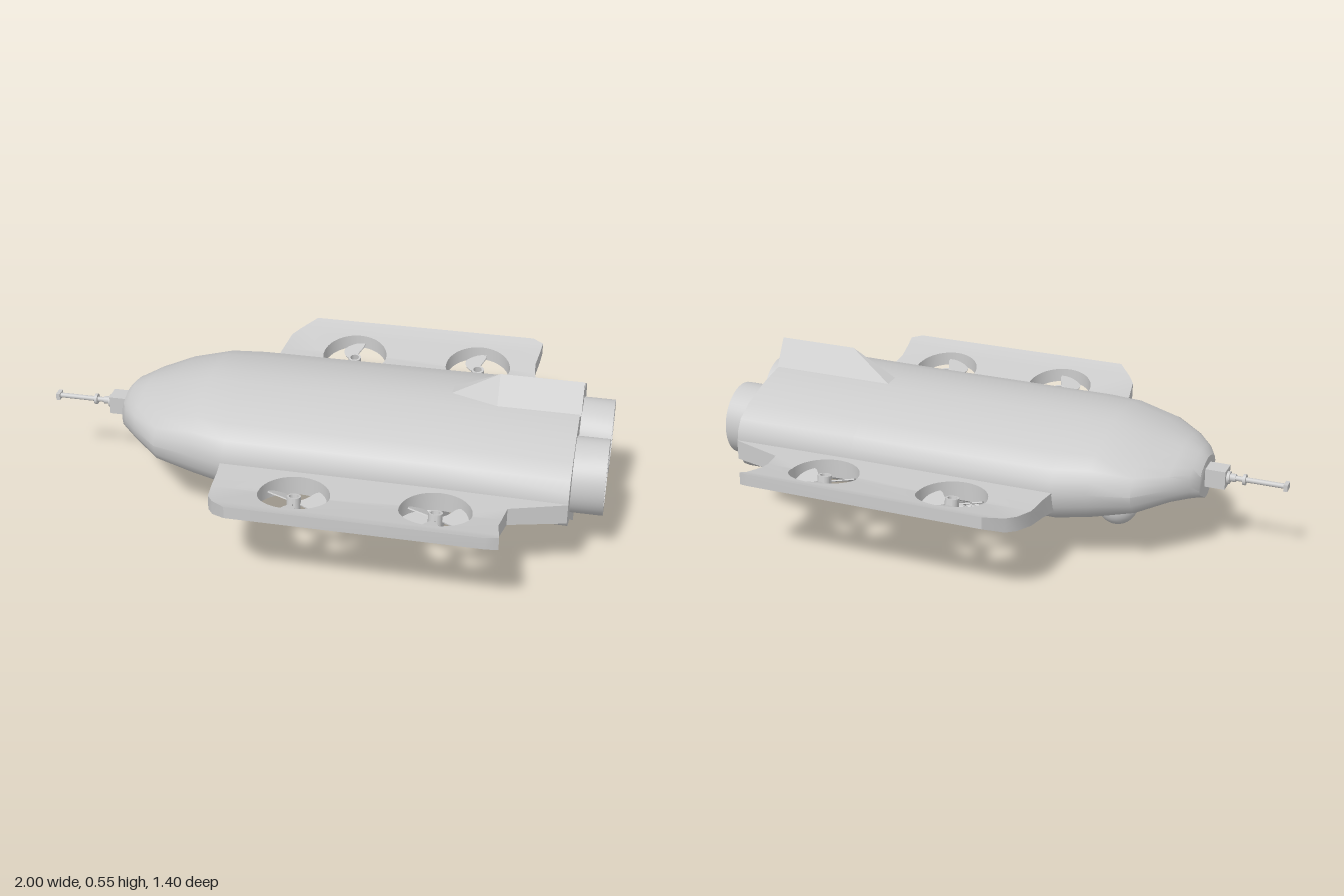
import * as THREE from 'three';
import { mergeGeometries, toCreasedNormals } from 'three/addons/utils/BufferGeometryUtils.js';
import { RoundedBoxGeometry } from 'three/addons/geometries/RoundedBoxGeometry.js';

const grey = new THREE.MeshStandardMaterial({ color: 0xcccccc });

// Merge several geometries, keeping only position and normal
function merge(...list) {
  return mergeGeometries(list.map((g) => {
    const n = g.index ? g.toNonIndexed() : g.clone();
    n.deleteAttribute('uv');
    return n;
  }));
}

// Skin rings of [y, z] points, wound anticlockwise as seen from +x
function loft(stations, crease) {
  const pos = [], idx = [], n = stations[0].ring.length, last = (stations.length - 1) * n;
  stations.forEach((s) => s.ring.forEach(([y, z]) => pos.push(s.x, y, z)));
  for (let i = 0; i < stations.length - 1; i++) {
    for (let j = 0; j < n; j++) {
      const a = i * n + j, b = i * n + (j + 1) % n;
      idx.push(a, b, b + n, a, b + n, a + n);
    }
  }
  for (let j = 1; j < n - 1; j++) idx.push(0, j + 1, j, last, last + j, last + j + 1);
  const g = new THREE.BufferGeometry();
  g.setAttribute('position', new THREE.Float32BufferAttribute(pos, 3));
  g.setIndex(idx);
  return toCreasedNormals(g, crease);
}

// Mirror across z = 0 and restore the winding
function mirrorZ(geo) {
  const g = geo.index ? geo.toNonIndexed() : geo.clone();
  for (const a of [g.attributes.position, g.attributes.normal]) {
    for (let i = 0; i < a.count; i += 3) {
      const p = [0, 2, 1].map((k) => [a.getX(i + k), a.getY(i + k), -a.getZ(i + k)]);
      p.forEach((v, k) => a.setXYZ(i + k, ...v));
    }
  }
  return g;
}

// Cylinder lying along x
function rod(r, x0, x1, y, z = 0, sides = 16) {
  return new THREE.CylinderGeometry(r, r, x1 - x0, sides).rotateZ(-Math.PI / 2).translate((x0 + x1) / 2, y, z);
}

// Propeller around the z axis with swept, pitched blades and a hollow hub
function propeller(blades, radius) {
  const petal = new THREE.Shape();
  petal.moveTo(0.15, -0.06);
  petal.bezierCurveTo(0.4, -0.35, 0.75, -0.4, 0.92, -0.3);
  petal.bezierCurveTo(1.03, -0.05, 0.98, 0.25, 0.8, 0.42);
  petal.bezierCurveTo(0.6, 0.42, 0.45, 0.1, 0.15, 0.08);
  const parts = [];
  for (let i = 0; i < blades; i++) {
    parts.push(new THREE.ExtrudeGeometry(petal, { depth: 0.04, bevelEnabled: false, curveSegments: 6 })
      .scale(radius, radius, radius).rotateX(0.35).rotateZ(0.3 + i * Math.PI * 2 / blades));
  }
  const hub = [[0.016, -0.02], [0.024, -0.02], [0.024, 0.025], [0.016, 0.025], [0.016, -0.02]];
  parts.push(toCreasedNormals(new THREE.LatheGeometry(hub.map((p) => new THREE.Vector2(...p)), 16), 0.6).rotateX(Math.PI / 2));
  return merge(...parts);
}

// Half section of the hull: share of half width, share of height
const half = [[0, 1], [0.19, 0.99], [0.46, 0.94], [0.75, 0.85], [0.91, 0.76], [0.97, 0.67], [1, 0.55],
  [0.97, 0.42], [0.91, 0.32], [0.8, 0.25], [0.45, 0.12], [0.15, 0.01], [0, 0]];
const section = [...half, ...half.slice(1, -1).reverse().map(([w, t]) => [-w, t])];

// Hull stations: x, half width, bottom, top
const hullStations = [[-0.72, 0.1, 0.2, 0.345], [-0.695, 0.14, 0.197, 0.372], [-0.64, 0.21, 0.19, 0.39],
  [-0.54, 0.3, 0.145, 0.42], [-0.4, 0.335, 0.095, 0.46], [-0.28, 0.362, 0.075, 0.46],
  [0.45, 0.365, 0.072, 0.46], [0.89, 0.375, 0.07, 0.46]];

// Wing heights by span: span, underside, top
const wingCurve = [[0.34, 0.22, 0.295], [0.51, 0.245, 0.298], [0.64, 0.275, 0.325], [0.7, 0.305, 0.347]];
const fans = [0.005, 0.475], fanSpan = 0.51, fanRadius = 0.12;

function wingHeight(v, w) {
  let i = 0;
  while (i < 2 && v > wingCurve[i + 1][0] + 1e-6) i++;
  const [a, b] = [wingCurve[i], wingCurve[i + 1]], t = (v - a[0]) / (b[0] - a[0]);
  return THREE.MathUtils.lerp(a[1] + (b[1] - a[1]) * t, a[2] + (b[2] - a[2]) * t, w);
}

// Wing made of three spanwise strips, the inner two sharing the fan openings
function wing() {
  const inner = new THREE.Shape(), middle = new THREE.Shape(), tip = new THREE.Shape();
  const trace = (s, pts) => pts.forEach((p) => s.lineTo(...p));
  inner.moveTo(-0.29, 0.34);
  trace(inner, [[0.89, 0.34], [0.89, 0.375], [0.7, 0.44], [0.69, 0.51]]);
  for (const x of [...fans].reverse()) {
    inner.lineTo(x + fanRadius, fanSpan);
    inner.absarc(x, fanSpan, fanRadius, 0, -Math.PI, true);
  }
  trace(inner, [[-0.275, 0.51], [-0.28, 0.42]]);
  middle.moveTo(-0.275, 0.51);
  for (const x of fans) {
    middle.lineTo(x - fanRadius, fanSpan);
    middle.absarc(x, fanSpan, fanRadius, Math.PI, 0, true);
  }
  trace(middle, [[0.69, 0.51], [0.685, 0.56], [0.695, 0.64], [-0.235, 0.64], [-0.26, 0.6]]);
  tip.moveTo(-0.235, 0.64);
  trace(tip, [[0.695, 0.64], [0.7, 0.68], [0.66, 0.7], [-0.18, 0.7]]);
  const g = merge(...[inner, middle, tip].map((s) =>
    new THREE.ExtrudeGeometry(s, { depth: 1, bevelEnabled: false, curveSegments: 20 })));
  const p = g.attributes.position;
  for (let i = 0; i < p.count; i++) {
    const v = p.getY(i);
    p.setXYZ(i, p.getX(i), wingHeight(v, p.getZ(i)), -v);
  }
  return mirrorZ(toCreasedNormals(g, 0.5));
}

export function createModel() {
  const model = new THREE.Group();
  const add = (name, geo) => {
    const m = new THREE.Mesh(geo, grey);
    m.name = name;
    model.add(m);
  };
  const addPair = (name, geo) => {
    add(name + 'Left', geo);
    add(name + 'Right', mirrorZ(geo));
  };

  // Hull
  add('hull', loft(hullStations.map(([x, w, lo, hi]) => ({
    x, ring: section.map(([a, t]) => [lo + (hi - lo) * t, a * w]),
  })), 0.6));

  // Ridge fins above and below the tail
  const upper = (x, y) => ({ x, ring: [[y, 0], [0.452, 0.058], [0.452, -0.058]] });
  add('upperFin', loft([upper(0.44, 0.456), upper(0.61, 0.552), upper(0.895, 0.552)], 0.1));
  const lower = (x, y, w) => ({ x, ring: [[y, 0], [0.1, -w], [0.1, w]] });
  add('lowerFin', loft([lower(0.45, 0.075, 0.04), lower(0.895, 0, 0.065)], 0.1));

  // Wings and their lift fans
  addPair('wing', wing());
  fans.forEach((x, i) => addPair(['frontFan', 'rearFan'][i],
    propeller(3, 0.112).rotateX(-Math.PI / 2 - 0.17).translate(x, 0.268, fanSpan)));

  // Tail thrusters
  const duct = [[0.13, 0], [0.13, 0.115], [0.108, 0.115], [0.1, 0.035], [0, 0.035]];
  addPair('thrusterDuct', toCreasedNormals(new THREE.LatheGeometry(duct.map((p) => new THREE.Vector2(...p)), 40), 0.5)
    .rotateZ(-Math.PI / 2).translate(0.885, 0.275, 0.14));
  addPair('thrusterPropeller', merge(propeller(4, 0.098).rotateY(Math.PI / 2), rod(0.018, -0.04, 0.01, 0))
    .translate(0.96, 0.275, 0.14));

  // Slanted pods under the hull, each with lamps on its front
  const pod = [new RoundedBoxGeometry(0.39, 0.08, 0.25, 2, 0.012)];
  for (const z of [-0.075, 0, 0.075]) {
    pod.push(rod(0.026, -0.215, -0.19, 0, z), new THREE.SphereGeometry(0.024, 14, 10).translate(-0.212, 0, z));
  }
  addPair('pod', merge(...pod).rotateX(-0.37).translate(0.275, 0.095, 0.21));

  // Camera dome under the nose
  add('cameraDome', new THREE.SphereGeometry(0.072, 28, 18).translate(-0.405, 0.113, 0));

  // Nose probe with collars and a tip
  add('probeMount', merge(
    new THREE.BoxGeometry(0.09, 0.065, 0.066).translate(-0.745, 0.283, 0),
    rod(0.022, -0.8, -0.785, 0.283)));
  add('probe', merge(
    rod(0.009, -0.99, -0.78, 0.285),
    rod(0.019, -0.855, -0.845, 0.285),
    rod(0.014, -0.82, -0.8, 0.285),
    new THREE.BoxGeometry(0.014, 0.024, 0.036).translate(-0.993, 0.285, 0)));

  return model;
}
